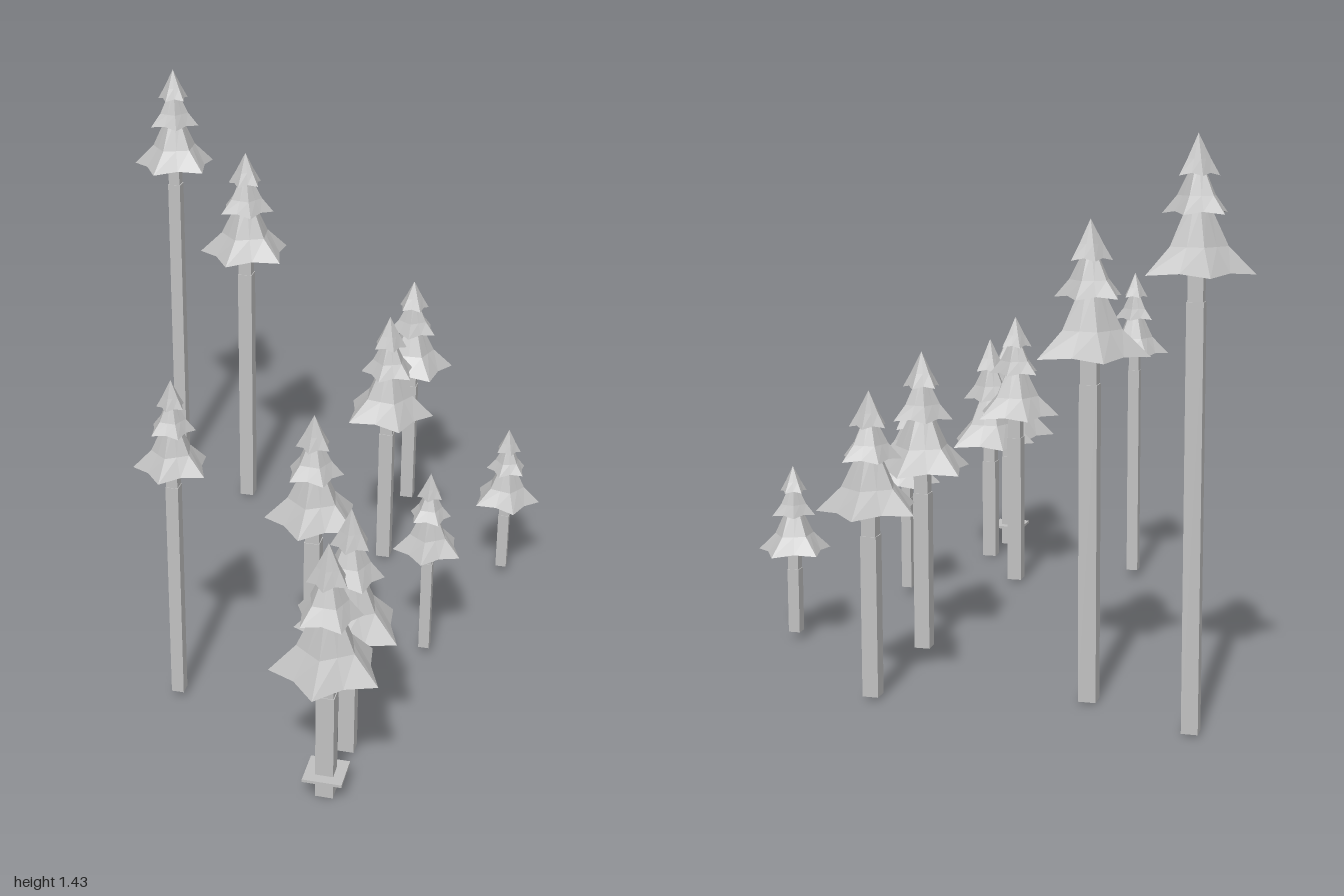
import * as THREE from 'three';

const grey = new THREE.MeshStandardMaterial({ color: 0xc0c0c0, flatShading: true });
grey.name = 'plain grey';

// Each tree: x, z, top, skirt height, trunk seam, trunk foot, radius, trunk width, turn in degrees
const TREES = [
  [-0.59, -0.87, 1.437, 1.115, 1.05, 0.01, 0.137, 0.041, -112],
  [-0.30, -0.70, 1.228, 0.89, 0.82, 0.008, 0.15, 0.046, -115],
  [-0.17, 0.52, 0.985, 0.73, 0.675, 0.025, 0.106, 0.035, -122],
  [0.24, -0.81, 0.80, 0.495, 0.43, 0.012, 0.136, 0.042, -90],
  [0.24, -0.39, 0.842, 0.515, 0.45, 0.012, 0.142, 0.043, -79],
  [0.622, -0.39, 0.505, 0.262, 0.21, 0.028, 0.105, 0.033, -75],
  [0.465, 0.135, 0.597, 0.355, 0.31, 0.028, 0.102, 0.031, -124],
  [0.18, 0.365, 0.853, 0.54, 0.47, 0.012, 0.136, 0.044, -121],
  [0.345, 0.65, 0.742, 0.39, 0.33, 0.008, 0.147, 0.044, -122],
  [0.33, 0.845, 0.748, 0.385, 0.31, 0.003, 0.15, 0.048, -124],
];

// Tiers as [radius, height] rings from rim to top, in units of crown radius and crown height
const TIERS = [
  [[1, 0], [0.53, 0.2], [0.22, 0.48]],
  [[0.6, 0.43], [0.35, 0.56], [0.12, 0.76]],
  [[0.37, 0.7], [0.21, 0.82], [0, 1]],
];

// Five-pointed flaring skirt, closed underneath
function tierGeometry(rings, radius, height, turn) {
  const N = 10, pos = [];
  const point = (k, i) => {
    const valley = i % 2 === 1;
    const r = rings[k][0] * radius * (valley ? [0.73, 0.82, 0.85][k] : 1);
    const y = rings[k][1] * height + (valley && k === 0 ? 0.02 * height : 0);
    const a = turn + (i / N) * Math.PI * 2;
    return [r * Math.cos(a), y, r * Math.sin(a)];
  };
  const center = [0, (rings[0][1] + 0.04) * height, 0];
  for (let i = 0; i < N; i++) {
    for (let k = 0; k < rings.length - 1; k++) {
      pos.push(...point(k, i + 1), ...point(k, i), ...point(k + 1, i));
      if (rings[k + 1][0] > 0) pos.push(...point(k, i + 1), ...point(k + 1, i), ...point(k + 1, i + 1));
    }
    pos.push(...center, ...point(0, i), ...point(0, i + 1));
  }
  const g = new THREE.BufferGeometry();
  g.setAttribute('position', new THREE.Float32BufferAttribute(pos, 3));
  g.computeVertexNormals();
  return g;
}

function addMesh(parent, name, geometry, y) {
  const mesh = new THREE.Mesh(geometry, grey);
  mesh.name = name;
  mesh.position.y = y;
  parent.add(mesh);
}

function makeTree([x, z, top, skirt, seam, foot, radius, width, turn]) {
  const tree = new THREE.Group();
  tree.name = 'pineTree';
  tree.position.set(x, 0, z);
  const height = top - skirt;

  // Long square trunk, and the slimmer stub that enters the crown
  addMesh(tree, 'trunk', new THREE.BoxGeometry(width, seam - foot, width), (seam + foot) / 2);
  const stubTop = skirt + 0.1 * height;
  addMesh(tree, 'trunkStub', new THREE.BoxGeometry(width * 0.9, stubTop - seam, width * 0.9), (seam + stubTop) / 2);

  // Crown, each tier turned by half a point
  TIERS.forEach((rings, i) => {
    const angle = THREE.MathUtils.degToRad(turn + 36 * i);
    addMesh(tree, 'crownTier', tierGeometry(rings, radius, height, angle), skirt);
  });
  return tree;
}

export function createModel() {
  const model = new THREE.Group();
  model.name = 'pineGrove';
  const trees = TREES.map(makeTree);
  model.add(...trees);

  // Thin square collar around the foot of the front tree
  addMesh(trees[trees.length - 1], 'trunkCollar', new THREE.BoxGeometry(0.105, 0.008, 0.105), 0.067);
  return model;
}
